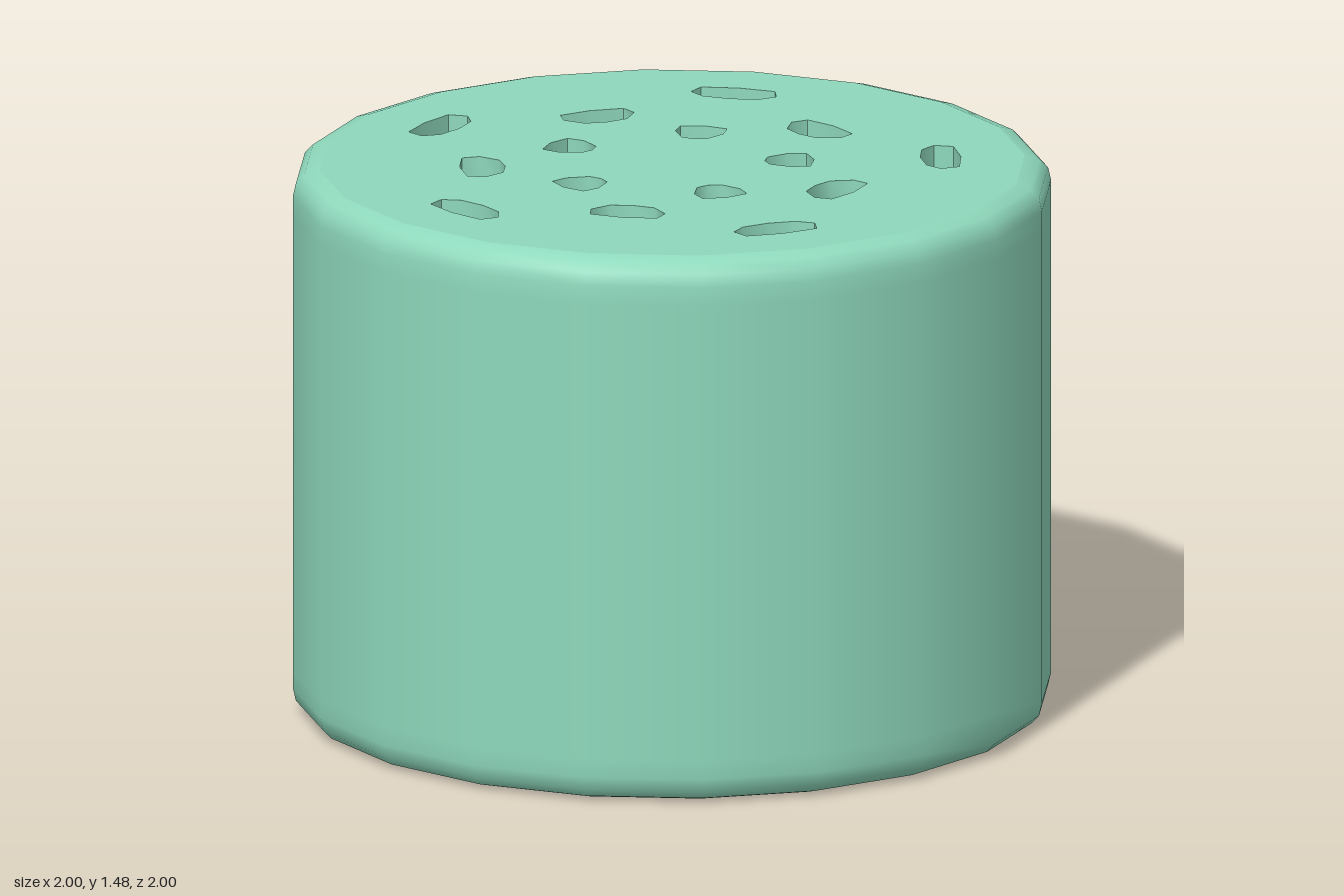
import * as THREE from 'three';
import { toCreasedNormals } from 'three/addons/utils/BufferGeometryUtils.js';

const SIDES = 20;
const HEIGHT = 1.48;
const PLATE = 0.07; // thickness of the perforated top
const RIM = 0.93; // radius where the top's rounded edge begins

// Half outlines of one hole per ring: [across, distance from centre], inner to outer
const RINGS = [
  { start: 0, half: [[0, 0.245], [0.035, 0.255], [0.065, 0.31], [0.063, 0.36], [0, 0.375]] },
  { start: Math.PI, half: [[0, 0.44], [0.06, 0.45], [0.1, 0.5], [0.09, 0.547], [0, 0.56]] },
  { start: 0, half: [[0, 0.655], [0.075, 0.665], [0.115, 0.7], [0.1, 0.75], [0, 0.762]] },
];

// Mirror a half outline and turn it about the centre
function holePath(half, angle) {
  const mirrored = half.slice(1, -1).reverse().map(([x, y]) => [-x, y]);
  const centre = new THREE.Vector2();
  return new THREE.Path([...half, ...mirrored].map(([x, y]) =>
    new THREE.Vector2(x, y).rotateAround(centre, angle)));
}

export function createModel() {
  const group = new THREE.Group();
  group.name = 'shakerCap';
  const material = new THREE.MeshStandardMaterial({ color: 0x8fd9bd });

  // Hollow wall: cavity, inner lip, rounded bottom edge, outside, rounded top edge
  const profile = [
    [0.9, HEIGHT - PLATE], [0.9, 0.15], [0.81, 0.15], [0.81, 0.03], [0.83, 0.005],
    [0.86, 0], [0.93, 0], [0.97, 0.012], [0.992, 0.035], [1, 0.07], [1, 0.12],
    [1, HEIGHT - 0.12], [1, HEIGHT - 0.07], [0.992, HEIGHT - 0.035],
    [0.97, HEIGHT - 0.012], [RIM, HEIGHT],
  ].map(([r, y]) => new THREE.Vector2(r, y));
  const wall = new THREE.Mesh(
    toCreasedNormals(new THREE.LatheGeometry(profile, SIDES), 0.9), material);
  wall.name = 'wall';
  group.add(wall);

  // Top plate with three rings of five holes
  const corners = Array.from({ length: SIDES }, (_, i) => {
    const a = (i / SIDES) * Math.PI * 2;
    return new THREE.Vector2(RIM * Math.cos(a), RIM * Math.sin(a));
  });
  const disc = new THREE.Shape(corners);
  for (const { start, half } of RINGS) {
    for (let i = 0; i < 5; i++) {
      disc.holes.push(holePath(half, start + (i * Math.PI * 2) / 5));
    }
  }
  const plate = new THREE.ExtrudeGeometry(disc, { depth: PLATE, bevelEnabled: false });
  plate.rotateX(-Math.PI / 2).translate(0, HEIGHT - PLATE, 0);
  const top = new THREE.Mesh(toCreasedNormals(plate, 0.9), material);
  top.name = 'perforatedTop';
  group.add(top);

  return group;
}
